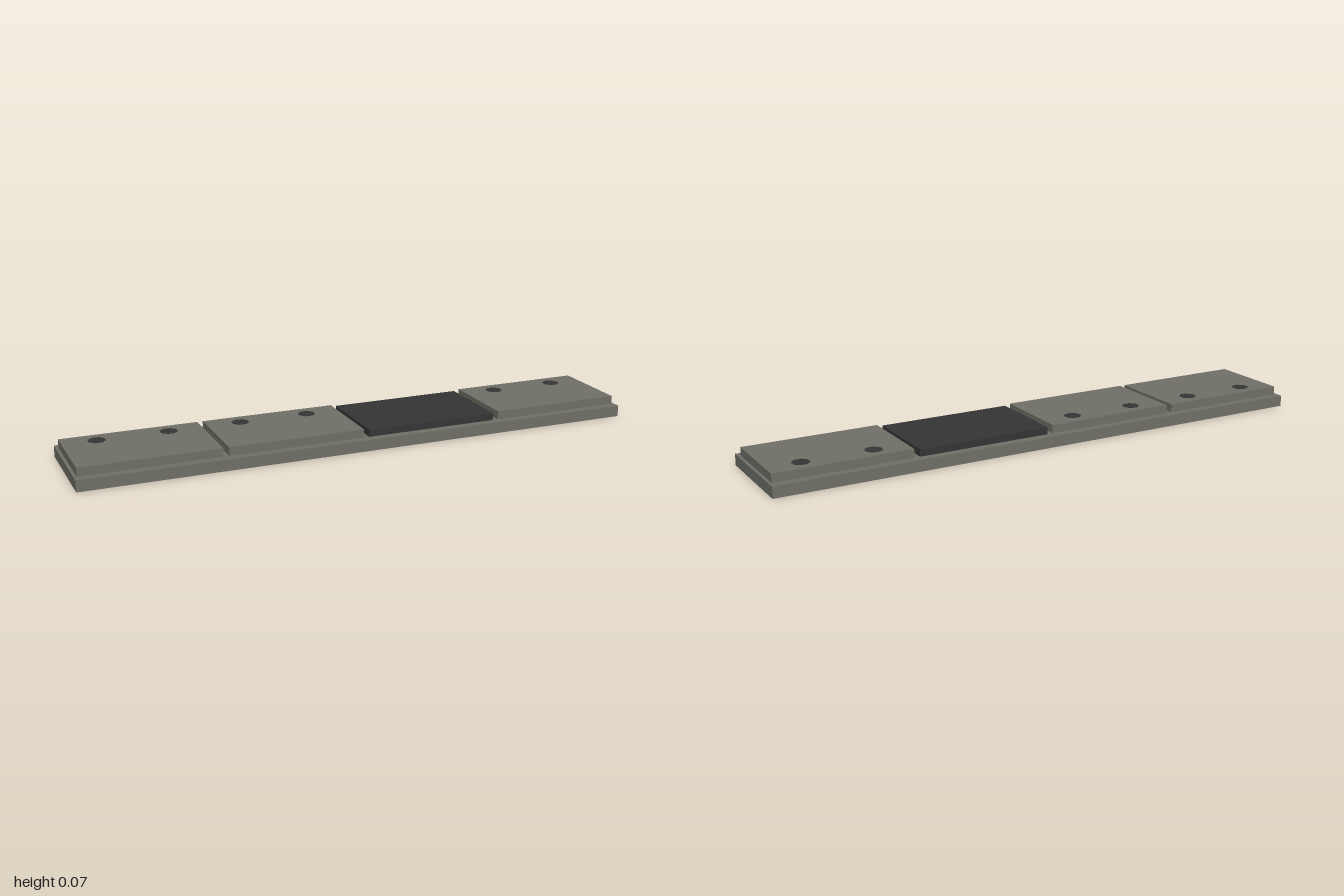
import * as THREE from 'three';

export function createModel() {
  const model = new THREE.Group();
  const stone = new THREE.MeshStandardMaterial({ color: 0x6e6e66 });
  stone.name = 'warm grey';
  const dark = new THREE.MeshStandardMaterial({ color: 0x343434 });
  dark.name = 'charcoal';

  const add = (name, geometry, material, x, y, z) => {
    const mesh = new THREE.Mesh(geometry, material);
    mesh.name = name;
    mesh.position.set(x, y, z);
    model.add(mesh);
  };
  const slab = (name, w, h, d, material, x, bottom) =>
    add(name, new THREE.BoxGeometry(w, h, d), material, x, bottom + h / 2, 0);

  // Long backing board
  slab('base', 2, 0.04, 0.36, stone, 0, 0);

  // Thin eight-sided studs with flats facing the panel edges
  const studGeometry = new THREE.CylinderGeometry(0.031, 0.031, 0.002, 8).rotateY(Math.PI / 8).toNonIndexed();
  studGeometry.computeVertexNormals();

  // Three raised panels, each with a pair of studs near the back edge
  for (const x of [-0.75, -0.25, 0.75]) {
    slab('panel', 0.48, 0.03, 0.3, stone, x, 0.04);
    for (const side of [-1, 1]) {
      add('stud', studGeometry, dark, x + side * 0.123, 0.0696, -0.09);
    }
  }

  // Lower dark panel without studs
  slab('darkPanel', 0.48, 0.025, 0.3, dark, 0.25, 0.04);

  return model;
}
